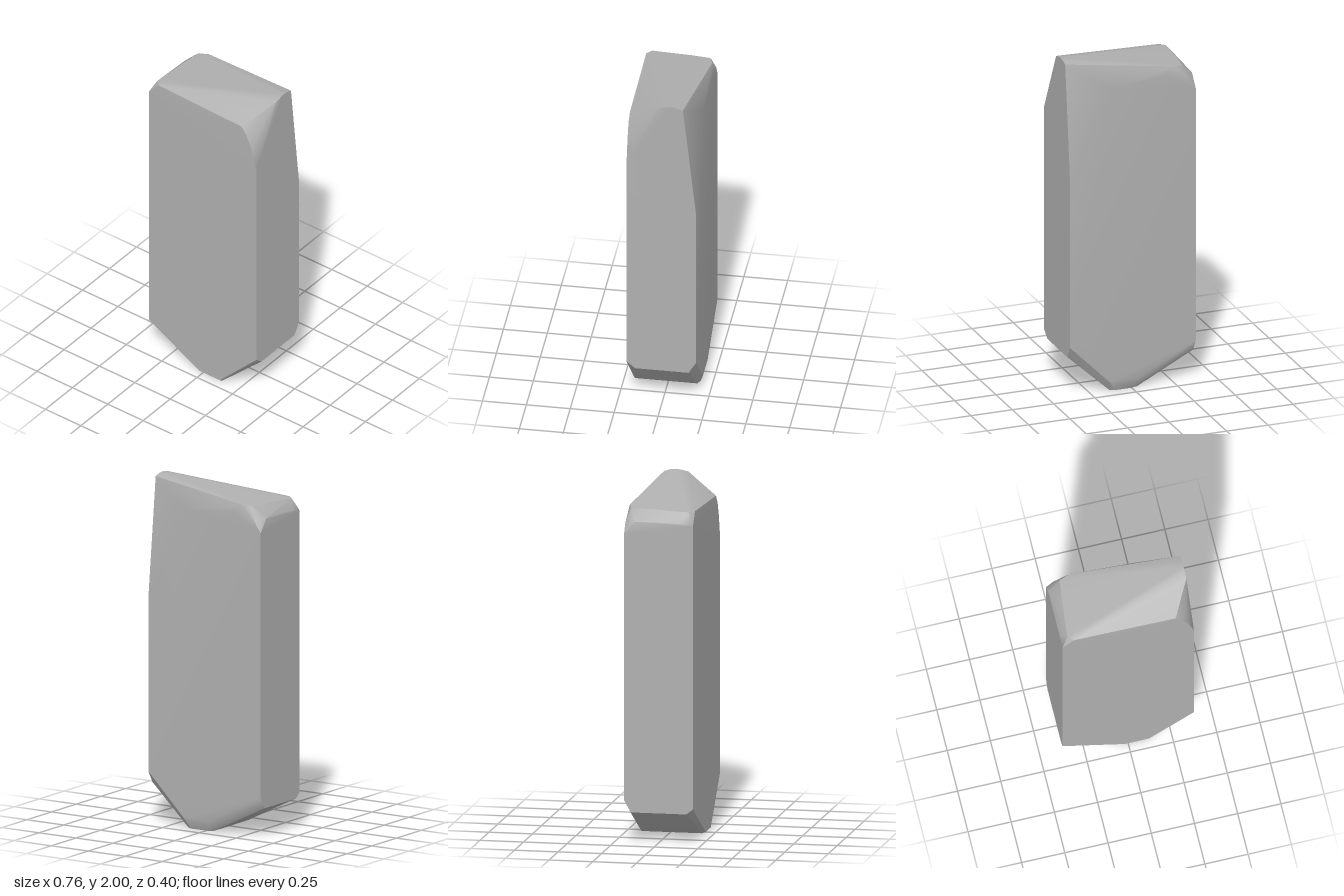
import * as THREE from 'three';
import { ConvexGeometry } from 'three/addons/geometries/ConvexGeometry.js';

// Area-weighted normals: soft bevels are blended, sharp edges and broad faces stay crisp.
function softenBevels(geo, angle) {
  const pos = geo.attributes.position;
  const limit = Math.cos(angle);
  const corners = new Map();
  const faces = [];
  const p = [new THREE.Vector3(), new THREE.Vector3(), new THREE.Vector3()];
  const key = (i) => [pos.getX(i), pos.getY(i), pos.getZ(i)].map((v) => v.toFixed(4)).join();
  for (let i = 0; i < pos.count; i += 3) {
    p.forEach((v, k) => v.fromBufferAttribute(pos, i + k));
    const area = p[1].clone().sub(p[0]).cross(p[2].clone().sub(p[0]));
    const face = { area, unit: area.clone().normalize() };
    faces.push(face);
    for (let k = 0; k < 3; k++) {
      const id = key(i + k);
      if (!corners.has(id)) corners.set(id, []);
      corners.get(id).push(face);
    }
  }
  for (let i = 0; i < pos.count; i++) {
    const own = faces[Math.floor(i / 3)];
    const n = new THREE.Vector3();
    for (const f of corners.get(key(i))) if (f.unit.dot(own.unit) > limit) n.add(f.area);
    n.normalize();
    geo.attributes.normal.setXYZ(i, n.x, n.y, n.z);
  }
  return geo;
}

export function createModel() {
  const group = new THREE.Group();
  group.name = 'standingStone';
  const stone = new THREE.MeshStandardMaterial({ color: 0xb0b0b0 });
  stone.name = 'grey stone';

  const X = 0.38, Z = 0.198;
  const points = [];
  const add = (list) => list.forEach((c) => points.push(new THREE.Vector3(...c)));

  // Front face outline
  add([[-X, 0.2, Z], [-0.02, 0.005, Z], [0.12, 0.005, Z], [X, 0.27, Z], [X, 1.62, Z],
    [0.345, 1.75, Z], [0.31, 1.83, Z], [0.275, 1.875, 0.196], [-0.31, 1.895, 0.196], [-X, 1.82, Z]]);

  // Back face outline
  add([[-X, 0.24, -Z], [-0.03, 0.06, -Z], [0.14, 0.06, -Z], [X, 0.3, -Z], [X, 1.29, -Z],
    [0.13, 1.83, -Z], [-0.2, 1.86, -Z], [-0.34, 1.82, -Z], [-X, 1.76, -Z]]);

  // Slanted top: rounded high end, then the low end with its chamfer
  add([[X, 1.987, 0.016], [X, 1.997, -0.03], [X, 2, -0.05], [X, 1.997, -0.085], [X, 1.985, -0.123],
    [-0.25, 1.908, -0.19], [-0.31, 1.9, -0.17], [-0.322, 1.9, -0.06], [-0.345, 1.893, 0.168],
    [-X, 1.835, 0.12], [-X, 1.835, -0.14]]);

  // Wedge-shaped foot with softened edges
  add([[-X, 0.17, 0.16], [-X, 0.17, -0.16], [-0.04, 0, 0.18], [-0.04, 0, -0.165],
    [0.13, 0, 0.19], [0.13, 0, -0.165], [0.1, 0, -0.18], [0, 0, -0.18],
    [X, 0.23, 0.15], [X, 0.23, -0.155]]);

  const mesh = new THREE.Mesh(softenBevels(new ConvexGeometry(points), 0.6), stone);
  mesh.name = 'stoneBlock';
  group.add(mesh);
  return group;
}
